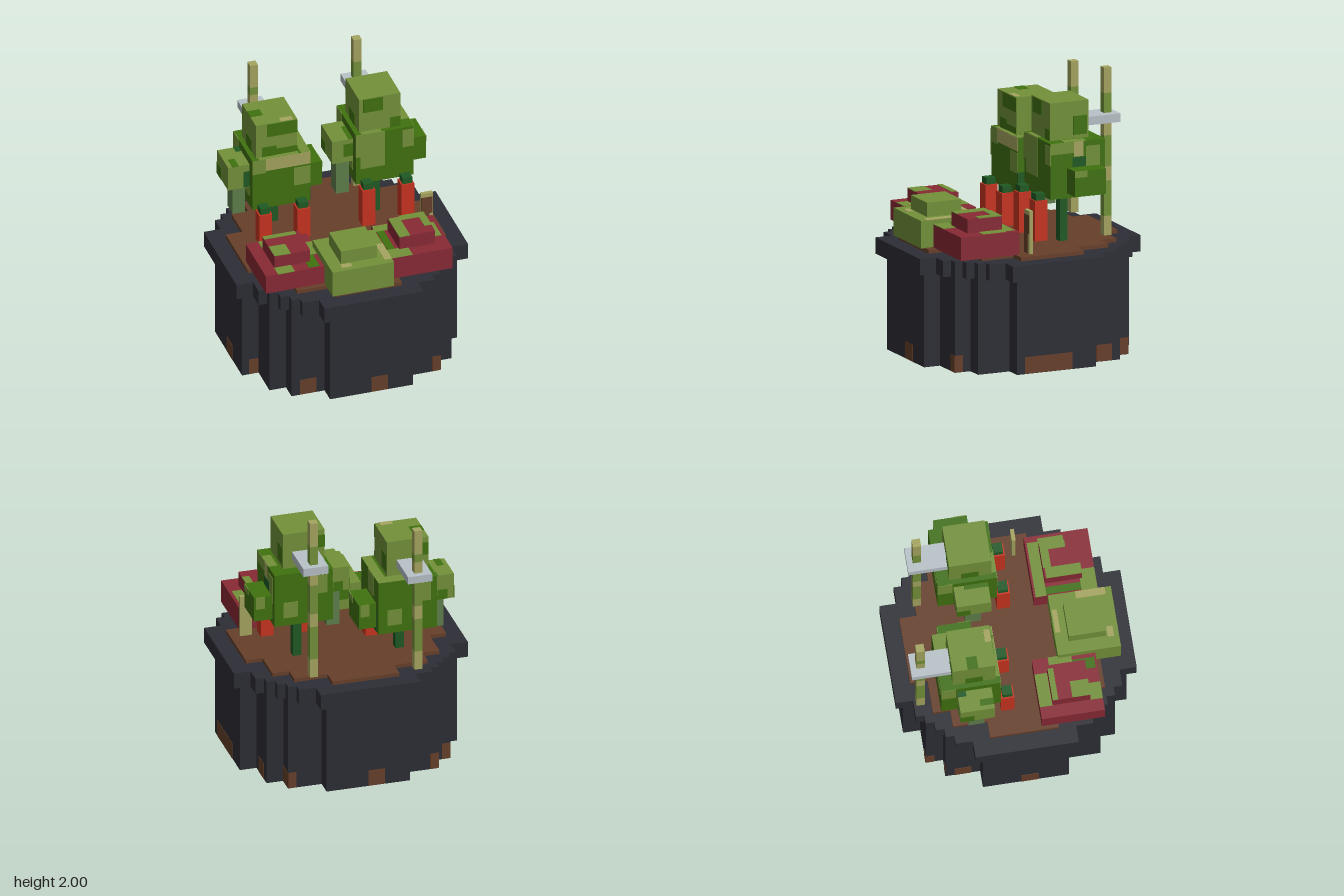
import * as THREE from 'three';

const mat = (name, color) => Object.assign(new THREE.MeshStandardMaterial({ color }), { name });
const charcoal = mat('charcoal', 0x2d2d36), soilBrown = mat('soil brown', 0x673f29);
const light = mat('light leaf', 0x74923a), mid = mat('mid leaf', 0x40720f), dark = mat('dark stem', 0x1f5a24);
const tan = mat('bamboo tan', 0xa5a560), crimson = mat('crimson', 0x892a35), red = mat('pepper red', 0xc93420);
const grey = mat('clip grey', 0xb8c2c8), sage = mat('sage', 0x5f7f4c);

// Box from its limits [x0, x1, y0, y1, z0, z1]
function box(parent, name, b, material) {
  const mesh = new THREE.Mesh(new THREE.BoxGeometry(b[1] - b[0], b[3] - b[2], b[5] - b[4]), material);
  mesh.position.set((b[0] + b[1]) / 2, (b[2] + b[3]) / 2, (b[4] + b[5]) / 2);
  mesh.name = name;
  parent.add(mesh);
  return mesh;
}

// Thin plate on one side of a box; u and v are fractions along the two remaining axes
function patch(parent, b, side, u0, u1, v0, v1, material) {
  const axis = 'xyz'.indexOf(side[1]);
  const at = b[axis * 2 + (side[0] === '+' ? 1 : 0)];
  const plate = [];
  const spans = [[u0, u1], [v0, v1]];
  // u runs along x (or z on x sides), v along y (or z on y sides)
  const order = axis === 0 ? [2, 1] : axis === 1 ? [0, 2] : [0, 1];
  order.forEach((k, i) => {
    const lo = b[k * 2], size = b[k * 2 + 1] - lo;
    plate[k * 2] = lo + size * spans[i][0];
    plate[k * 2 + 1] = lo + size * spans[i][1];
  });
  plate[axis * 2] = at - 0.003;
  plate[axis * 2 + 1] = at + 0.003;
  box(parent, 'patch', plate, material);
}
const patches = (parent, b, list) => list.forEach(p => patch(parent, b, ...p));

// Round slab with a stair-stepped outline, same in all four quarters
function steppedSlab(parent, name, steps, y0, y1, material) {
  const quarter = [];
  steps.forEach(([x, y], i) => {
    if (i) quarter.push([steps[i - 1][0], y]);
    quarter.push([x, y]);
  });
  const points = [];
  let q = quarter;
  for (let i = 0; i < 4; i++) {
    q.forEach(([x, y]) => points.push(new THREE.Vector2(x, y)));
    q = q.map(([x, y]) => [y, -x]);
  }
  const geometry = new THREE.ExtrudeGeometry(new THREE.Shape(points), { depth: y1 - y0, bevelEnabled: false });
  geometry.rotateX(-Math.PI / 2).translate(0, y0, 0);
  const mesh = new THREE.Mesh(geometry, material);
  mesh.name = name;
  parent.add(mesh);
}

function group(parent, name) {
  const g = new THREE.Group();
  g.name = name;
  parent.add(g);
  return g;
}

function buildPot(root) {
  const pot = group(root, 'pot');
  steppedSlab(pot, 'potBody', [[0.3, 0.78], [0.54, 0.66], [0.66, 0.54], [0.78, 0.3]], 0, 0.67, charcoal);
  steppedSlab(pot, 'potRim', [[0.36, 0.84], [0.48, 0.72], [0.54, 0.66], [0.6, 0.6], [0.66, 0.54], [0.72, 0.48], [0.84, 0.36]], 0.67, 0.785, charcoal);
  steppedSlab(pot, 'soil', [[0.24, 0.72], [0.48, 0.6], [0.6, 0.48], [0.72, 0.24]], 0.785, 0.812, soilBrown);
  // Mud stains: [x0, x1, z] on front and back faces
  for (const [x0, x1, z] of [[-0.73, -0.66, 0.3], [-0.48, -0.36, 0.66], [0, 0.12, 0.78], [0.48, 0.54, 0.66],
    [-0.12, 0, -0.78], [0.48, 0.54, -0.66], [-0.54, -0.48, -0.66], [-0.66, -0.6, -0.54]])
    box(pot, 'mudStain', [x0, x1, 0.002, 0.12, z - 0.003, z + 0.003], soilBrown);
  // [z0, z1, x] on the side faces
  for (const [z0, z1, x] of [[0.6, 0.66, 0.54], [-0.12, 0.24, 0.78], [-0.48, -0.36, 0.66], [-0.66, -0.54, 0.54],
    [-0.66, -0.6, -0.54], [-0.48, -0.36, -0.66], [-0.03, 0.09, -0.78]])
    box(pot, 'mudStain', [x - 0.003, x + 0.003, 0.002, 0.12, z0, z1], soilBrown);
}

// Bush on a stem; the boxes are limits, the patch lists differ per bush
function buildBush(root, name, o) {
  const bush = group(root, name);
  box(bush, 'stem', o.stem, dark);
  box(bush, 'foliage', o.body, mid);
  box(bush, 'crown', o.head, light);
  box(bush, 'outerLeaf', o.leafA, light);
  box(bush, 'innerLeaf', o.leafB, mid);
  box(bush, 'hangingPod', o.pod, sage);
  patches(bush, o.body, [
    ['-y', 0.05, 0.95, 0.05, 0.95, dark],
    ['-z', 0.1, 0.35, 0.55, 0.9, light], ['-z', 0.6, 0.85, 0.15, 0.45, light],
    ['-x', 0, 0.25, 0.6, 1, light], ['-x', 0.6, 0.85, 0.2, 0.45, light], ...o.bodyPatches]);
  patches(bush, o.head, [
    ['-z', 0, 0.4, 0.5, 0.85, mid], ['-x', 0.3, 0.7, 0, 0.35, mid], ['+x', 0.05, 0.4, 0.1, 0.6, mid], ...o.headPatches]);
  patches(bush, o.leafA, [['-z', 0.3, 0.8, 0, 0.4, mid], ['-x', 0, 0.4, 0, 0.5, mid], ...o.leafPatches]);
  patches(bush, o.leafB, [['-z', 0.4, 0.9, 0.5, 1, light], ['+x', 0.6, 1, 0.75, 1, light]]);
}

// Bamboo cane in alternating bands, with a clip holding the crown
function buildCane(root, x, z, top, clip) {
  const cane = group(root, 'cane');
  const marks = [0.81, 0.95, 1.2, 1.3, 1.52, 1.64, top - 0.18, top];
  for (let i = 0; i < marks.length - 1; i++)
    box(cane, 'caneBand', [x - 0.029, x + 0.029, marks[i], marks[i + 1], z - 0.029, z + 0.029], i % 2 ? light : tan);
  box(cane, 'clip', clip, grey);
}

// Two-tier fruit
function buildFruit(root, name, base, tier, skin, basePatches, tierPatches) {
  const fruit = group(root, name);
  box(fruit, 'fruitBase', base, skin);
  box(fruit, 'fruitTop', tier, skin);
  patches(fruit, base, basePatches);
  patches(fruit, tier, tierPatches);
}

export function createModel() {
  const root = new THREE.Group();
  root.name = 'planter';
  buildPot(root);

  buildBush(root, 'rightBush', {
    stem: [-0.38, -0.32, 0.81, 1.05, -0.36, -0.3],
    body: [-0.56, -0.14, 1.04, 1.435, -0.555, -0.14],
    head: [-0.525, -0.225, 1.435, 1.7, -0.47, -0.17],
    leafA: [-0.715, -0.56, 1.19, 1.375, -0.445, -0.205],
    leafB: [-0.14, -0.015, 1.07, 1.255, -0.5, -0.265],
    pod: [-0.66, -0.57, 0.95, 1.19, -0.38, -0.27],
    bodyPatches: [['+z', 0.23, 1, 0.76, 1, tan], ['+z', 0, 0.23, 0.72, 1, light], ['+z', 0.72, 1, 0.36, 0.72, light],
      ['+y', 0.5, 1, 0, 0.2, light], ['+y', 0.84, 1, 0.2, 1, light], ['+y', 0.12, 0.8, 0.92, 1, light],
      ['+x', 0.1, 1, 0, 0.38, dark], ['+x', 0.3, 0.6, 0.6, 1, light]],
    headPatches: [['+z', 0.27, 1, 0.6, 0.98, mid], ['+z', 0.5, 1, 0.02, 0.2, mid], ['+z', 0.15, 0.5, 0, 0.3, mid],
      ['+y', 0, 0.3, 0.35, 0.6, mid], ['+y', 0.6, 0.9, 0.85, 1, tan]],
    leafPatches: [['+z', 0.72, 1, 0.03, 0.7, dark], ['+y', 0.75, 1, 0, 0.25, dark], ['+y', 0.2, 0.5, 0.6, 1, mid]],
  });
  buildBush(root, 'leftBush', {
    stem: [0.33, 0.39, 0.81, 1.17, -0.27, -0.21],
    body: [0.16, 0.58, 1.16, 1.555, -0.465, -0.05],
    head: [0.195, 0.495, 1.555, 1.82, -0.38, -0.085],
    leafA: [0.01, 0.16, 1.315, 1.495, -0.355, -0.115],
    leafB: [0.58, 0.71, 1.195, 1.375, -0.41, -0.175],
    pod: [0.06, 0.155, 1.025, 1.315, -0.29, -0.18],
    bodyPatches: [['+z', 0, 0.5, 0.55, 1, light], ['+z', 0.08, 0.5, 0.3, 0.55, light], ['+z', 0.8, 1, 0.6, 0.95, light],
      ['+y', 0.1, 0.45, 0.85, 1, light], ['+y', 0.85, 1, 0.35, 0.75, light],
      ['+x', 0.4, 0.57, 0.73, 1, tan], ['+x', 0.57, 1, 0.8, 1, light], ['+x', 0.1, 0.35, 0.4, 0.9, light], ['+x', 0.3, 0.6, 0.45, 0.72, dark]],
    headPatches: [['+z', 0.1, 0.57, 0.58, 0.98, mid], ['+z', 0.75, 1, 0, 0.3, mid]],
    leafPatches: [['+z', 0.55, 1, 0.25, 0.8, mid], ['+y', 0.8, 1, 0.3, 1, mid]],
  });

  buildCane(root, -0.382, -0.675, 1.88, [-0.47, -0.295, 1.5, 1.555, -0.745, -0.465]);
  buildCane(root, 0.34, -0.585, 2, [0.25, 0.43, 1.62, 1.68, -0.655, -0.375]);

  // Peppers: centre x, centre z, base height
  for (const [x, z, y] of [[-0.495, -0.088, 0.76], [-0.22, -0.082, 0.76], [0.225, -0.003, 0.87], [0.505, 0.007, 0.87]]) {
    const pepper = group(root, 'pepper');
    box(pepper, 'pepperBody', [x - 0.046, x + 0.046, y, y + 0.285, z - 0.046, z + 0.046], red);
    box(pepper, 'pepperCap', [x - 0.035, x + 0.035, y + 0.285, y + 0.332, z - 0.035, z + 0.035], dark);
  }

  buildFruit(root, 'rightFruit', [-0.695, -0.255, 0.81, 0.95, 0.125, 0.565], [-0.605, -0.345, 0.95, 1.045, 0.215, 0.48], crimson,
    [['+y', 0.2, 0.75, 0, 0.2, light], ['+y', 0.8, 1, 0.25, 0.62, light], ['+y', 0.72, 0.9, 0.62, 0.97, mid], ['+y', 0.2, 0.48, 0.8, 1, light]],
    [['+y', 0, 0.46, 0.52, 1, light], ['+y', 0, 0.9, 0, 0.15, light]]);
  buildFruit(root, 'leftFruit', [0.185, 0.63, 0.81, 0.975, 0.21, 0.655], [0.275, 0.535, 0.975, 1.075, 0.3, 0.56], crimson,
    [['+y', 0, 0.9, 0.03, 0.2, light], ['+y', 0.02, 0.14, 0.2, 0.75, mid], ['+y', 0.14, 0.35, 0.75, 1, light], ['+y', 0.78, 0.95, 0.2, 0.6, light], ['+y', 0, 0.14, 0.75, 1, light]],
    [['+y', 0, 0.3, 0.05, 1, light], ['+y', 0.3, 1, 0, 0.22, light], ['+y', 0.8, 1, 0.22, 0.68, light]]);
  buildFruit(root, 'middleFruit', [-0.27, 0.175, 0.81, 1.005, 0.305, 0.745], [-0.18, 0.08, 1.005, 1.105, 0.395, 0.655], light,
    [['+y', 0.37, 0.75, 0.02, 0.1, tan], ['+y', 0.88, 1, 0.43, 0.9, tan], ['+y', 0.18, 0.35, 0.82, 0.92, tan], ['-z', 0.2, 0.6, 0.4, 0.8, mid]], []);

  // Plant marker
  const marker = [0.57, 0.655, 0.81, 1.115, 0.118, 0.145];
  box(root, 'marker', marker, tan);
  patches(root, marker, [['+z', 0, 0.97, 0.47, 0.9, soilBrown], ['+z', 0, 0.7, 0, 0.47, soilBrown]]);
  return root;
}
